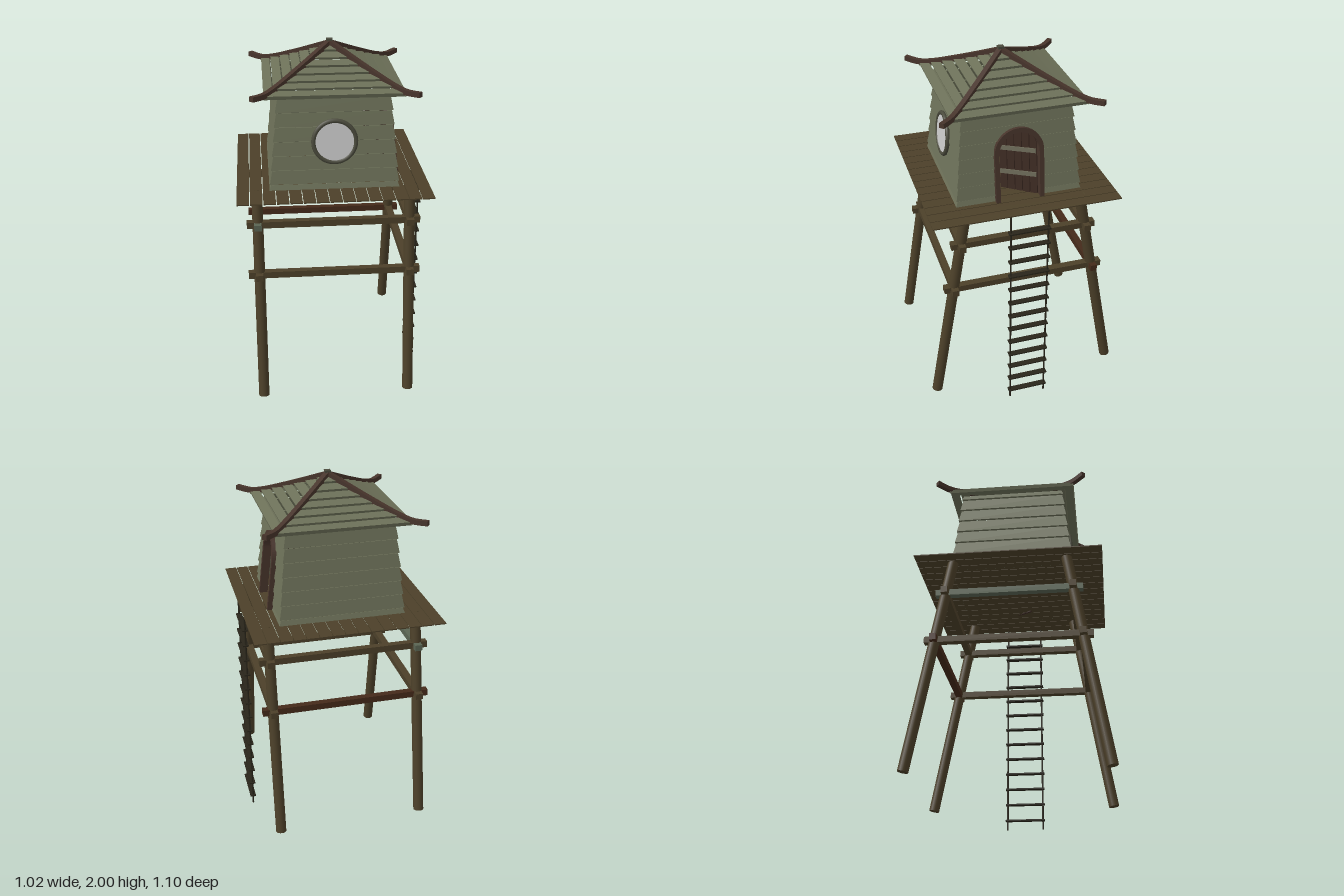
import * as THREE from 'three';

const mat = (color) => new THREE.MeshStandardMaterial({ color, roughness: 0.9 });
const siding = mat(0x6c7058), wood = mat(0x4c4029), trim = mat(0x47342b), doorWood = mat(0x3d2a22);
const strap = mat(0x6d6a58), dark = mat(0x29251a), redWood = mat(0x452a1a), greyWood = mat(0x5a6553), rim = mat(0x4a4a3c);
const glassMat = mat(0xcccccc);

const FLOOR = 1.28, CZ = 0.015;          // deck height and hut centre in z
const DOOR_R = 0.113, SPRING = 0.27;     // door arch, measured up from the deck

function add(parent, name, geometry, material, x = 0, y = 0, z = 0) {
  const mesh = new THREE.Mesh(geometry, material);
  mesh.name = name;
  mesh.position.set(x, y, z);
  parent.add(mesh);
  return mesh;
}

function group(parent, name) {
  const g = new THREE.Group();
  g.name = name;
  parent.add(g);
  return g;
}

const slab = (shape, depth) =>
  new THREE.ExtrudeGeometry(shape, { depth, bevelEnabled: false, curveSegments: 20 });

// Half-width of the doorway at a height above the deck
function doorway(h) {
  if (h <= SPRING) return DOOR_R;
  return Math.sqrt(Math.max(0, DOOR_R ** 2 - (h - SPRING) ** 2));
}

// One tapered board facing +z, from (radius r0, height y0) up to (r1, y1)
function boardRow(parent, name, r0, y0, r1, y1, thick, cut) {
  const len = Math.hypot(r0 - r1, y1 - y0);
  const shapes = [];
  if (cut && cut(y0 - FLOOR) > 0) {
    for (const s of [-1, 1]) {
      const pts = [new THREE.Vector2(s * r0, 0), new THREE.Vector2(s * r1, len)];
      for (let j = 8; j >= 0; j--) {
        const t = j / 8;
        pts.push(new THREE.Vector2(s * cut(y0 + (y1 - y0) * t - FLOOR), len * t));
      }
      shapes.push(new THREE.Shape(pts));
    }
  } else {
    shapes.push(new THREE.Shape([
      new THREE.Vector2(-r0, 0), new THREE.Vector2(r0, 0),
      new THREE.Vector2(r1, len), new THREE.Vector2(-r1, len)]));
  }
  const geo = slab(shapes, thick).translate(0, 0, -thick);
  add(parent, name, geo, siding, 0, y0, r0).rotation.x = -Math.atan2(r0 - r1, y1 - y0);
}

// Arched door frame and a plank door standing ajar, on a wall facing +z
function buildDoor(wall) {
  const door = group(wall, 'doorway');
  door.position.set(0, FLOOR, 0.335);
  door.rotation.x = -0.115;
  const R = 0.132, r = 0.108;
  const s = new THREE.Shape();
  s.moveTo(R, 0);
  s.lineTo(R, SPRING);
  s.absarc(0, SPRING, R, 0, Math.PI, false);
  s.lineTo(-R, 0);
  s.lineTo(-r, 0);
  s.lineTo(-r, SPRING);
  s.absarc(0, SPRING, r, Math.PI, 0, true);
  s.lineTo(r, 0);
  add(door, 'doorFrame', slab(s, 0.045), trim, 0, 0, -0.012);

  const leaf = group(door, 'doorLeaf');
  leaf.position.x = 0.104;
  leaf.rotation.y = -0.63;
  const n = 5, w = 0.208 / n;
  for (let i = 0; i < n; i++) {
    const x0 = -0.104 + i * w + 0.002, x1 = x0 + w - 0.004;
    const pts = [new THREE.Vector2(x0, 0.005), new THREE.Vector2(x1, 0.005)];
    for (let j = 6; j >= 0; j--) {
      const x = x0 + (x1 - x0) * j / 6;
      pts.push(new THREE.Vector2(x, SPRING + Math.sqrt(Math.max(0, 0.105 ** 2 - x * x))));
    }
    add(leaf, 'doorPlank', slab(new THREE.Shape(pts), 0.014), doorWood, -0.104, 0, -0.012);
  }
  for (const y of [0.115, 0.25])
    add(leaf, 'doorStrap', new THREE.BoxGeometry(0.2, 0.024, 0.008), strap, -0.104, y, 0.005);
}

// Round window set in the front wall
function buildWindow(wall) {
  const win = group(wall, 'roundWindow');
  win.position.set(0, 1.54, 0.324);
  win.rotation.x = -0.096;
  add(win, 'windowFrame', new THREE.TorusGeometry(0.11, 0.012, 10, 48), rim);
  add(win, 'windowPane', new THREE.CylinderGeometry(0.108, 0.108, 0.012, 48).rotateX(Math.PI / 2), glassMat);
}

function buildHut(root) {
  const hut = group(root, 'hut');
  hut.position.z = CZ;
  const wallR = (y) => 0.337 - 0.096 * (y - FLOOR);
  const roofY = (r) => 1.972 - 0.56 * r + 0.22 * r * (r - 0.04);
  for (let k = 0; k < 4; k++) {
    const side = group(hut, 'hutSide');
    side.rotation.y = k * Math.PI / 2;
    // clapboard wall: a short first board, then even courses
    const edges = [FLOOR];
    for (let i = 0; i < 7; i++) edges.push(1.315 + i * 0.0762);
    edges.push(1.805);
    for (let i = 0; i + 1 < edges.length; i++) {
      const a = edges[i], b = edges[i + 1] - 0.005;
      boardRow(side, 'wallBoard', wallR(a) + 0.007, a, wallR(b), b, 0.01, k === 1 ? doorway : null);
    }
    // stepped roof boards
    const rows = 7, step = 0.36 / rows;
    for (let i = 0; i < rows; i++) {
      const r0 = 0.36 - i * step, r1 = i === rows - 1 ? 0.001 : r0 - step + 0.006;
      boardRow(side, 'roofBoard', r0, roofY(r0) + 0.006, r1, roofY(r1), i ? 0.012 : 0.02);
    }
    if (k === 0) buildWindow(side);
    if (k === 1) buildDoor(side);

    // hip beam flaring out past the corner
    const d = Math.SQRT2;
    const path = new THREE.CatmullRomCurve3(
      [[0, 1.978], [0.18, 1.882], [0.31, 1.82], [0.36, 1.806], [0.42, 1.81]]
        .map(([r, y]) => new THREE.Vector3(r * d, y, 0)));
    const h = 0.013;
    const sq = new THREE.Shape([[-h, -h], [h, -h], [h, h], [-h, h]].map((p) => new THREE.Vector2(...p)));
    const beam = new THREE.ExtrudeGeometry(sq, { steps: 24, extrudePath: path, bevelEnabled: false });
    add(hut, 'hipBeam', beam, trim).rotation.y = Math.PI / 4 + k * Math.PI / 2;
  }
  add(hut, 'roofCap', new THREE.BoxGeometry(0.032, 0.03, 0.032), rim, 0, 1.982, 0);
}

// Splayed legs with two levels of rails
function buildStand(root) {
  const stand = group(root, 'stand');
  const legZ = (s, y) => s > 0 ? 0.325 + (FLOOR - y) * 0.167 : -0.3 - (FLOOR - y) * 0.186;
  const legX = (s) => s * 0.407 - 0.004;
  const up = new THREE.Vector3(0, 1, 0);
  for (const sx of [-1, 1]) for (const sz of [-1, 1]) {
    const a = new THREE.Vector3(legX(sx), 0.1, legZ(sz, 0.1));
    const b = new THREE.Vector3(legX(sx), FLOOR - 0.001, legZ(sz, FLOOR));
    const dir = b.clone().sub(a);
    const leg = add(stand, 'leg', new THREE.CylinderGeometry(0.029, 0.029, dir.length(), 20), wood);
    leg.position.copy(a).add(b).multiplyScalar(0.5);
    leg.quaternion.setFromUnitVectors(up, dir.normalize());
  }
  for (const y of [1.09, 0.812]) {
    const zf = legZ(1, y), zb = legZ(-1, y);
    for (const s of [-1, 1]) {
      const cross = s < 0 && y < 1 ? redWood : wood;
      const along = s < 0 && y > 1 ? greyWood : wood;
      add(stand, 'crossRail', new THREE.BoxGeometry(0.93, 0.036, 0.036), cross, -0.005, y, legZ(s, y));
      add(stand, 'sideRail', new THREE.BoxGeometry(0.04, 0.034, zf - zb + 0.107), along, legX(s), y, (zf + zb) / 2);
    }
  }
}

function buildDeck(root) {
  const deck = group(root, 'deck');
  for (let i = 0; i < 15; i++)
    add(deck, 'deckPlank', new THREE.BoxGeometry(0.064, 0.006, 1.02), wood, -0.005 + (i - 7) * 0.0683, FLOOR, 0.01);
}

function buildLadder(root) {
  const ladder = group(root, 'ladder');
  ladder.position.set(0.493, 0, 0.005);
  for (const s of [-1, 1])
    add(ladder, 'ladderRope', new THREE.CylinderGeometry(0.005, 0.005, FLOOR, 8), dark, 0, FLOOR / 2, s * 0.103);
  for (let i = 0; i < 13; i++)
    add(ladder, 'ladderRung', new THREE.BoxGeometry(0.032, 0.008, 0.228), dark, 0, 0.054 + i * 0.0928, 0);
}

export function createModel() {
  const root = new THREE.Group();
  root.name = 'watchtower';
  buildStand(root);
  buildDeck(root);
  buildHut(root);
  buildLadder(root);
  return root;
}
